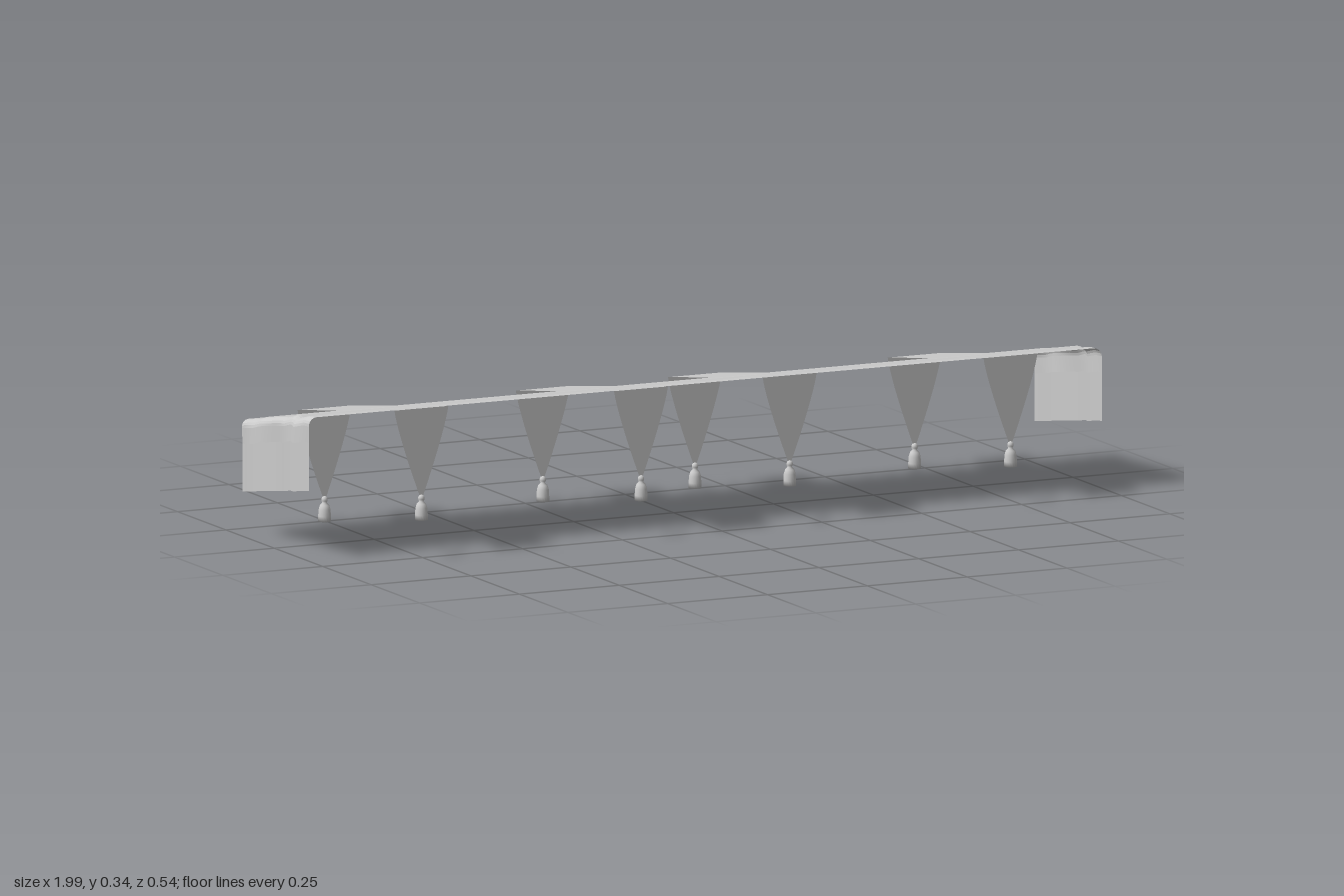
import * as THREE from 'three';
import { ParametricGeometry } from 'three/addons/geometries/ParametricGeometry.js';

const cloth = new THREE.MeshStandardMaterial({ color: 0xcccccc, side: THREE.DoubleSide });
const planeY = (z) => 0.3012 + 0.165 * z; // the cloth lies on a slight slope

function part(geometry, name, parent) {
  const mesh = new THREE.Mesh(geometry, cloth);
  mesh.name = name;
  parent.add(mesh);
  return mesh;
}

// Height of the runner from front hem to back hem, with soft wrinkles
const wrinkles = [
  [0.162, 0.325], [0.135, 0.324], [0.092, 0.313], [0.08, 0.318], [0.035, 0.305],
  [0, 0.3], [-0.06, 0.289], [-0.09, 0.284], [-0.12, 0.275], [-0.188, 0.263],
];
function runnerY(z) {
  for (let i = 1; i < wrinkles.length; i++) {
    const [z0, y0] = wrinkles[i - 1], [z1, y1] = wrinkles[i];
    if (z >= z1 || i === wrinkles.length - 1) return y0 + (y1 - y0) * (z - z0) / (z1 - z0);
  }
}

// Long profile of the runner: flap, rounded fold, flat top, fold, flap
function runnerProfile() {
  const half = [];
  for (let i = 0; i <= 4; i++) half.push([0.993, -0.168 + i * 0.037]);
  for (let i = 1; i <= 5; i++) {
    const a = (i / 5) * Math.PI / 2;
    half.push([0.973 + 0.02 * Math.cos(a), -0.02 + 0.02 * Math.sin(a)]);
  }
  half.push([0.5, 0]);
  return [...half.map(([x, y]) => [-x, y]), ...half.reverse()];
}

function runnerGeometry() {
  const profile = runnerProfile(), n = profile.length - 1;
  return new ParametricGeometry((u, v, target) => {
    const [x, d] = profile[Math.round(u * n)];
    const z = 0.162 - 0.35 * v;
    const hang = Math.min(1, -d / 0.03);
    // the hanging ends ripple a little sideways
    const ripple = hang * (0.004 * Math.sin(z * 32 + Math.sign(x)) + 0.01 * z);
    // wrinkles fade towards the bottom hem
    const fade = -d / 0.168;
    const y = runnerY(z) * (1 - 0.7 * fade) + (planeY(z) - 0.003) * 0.7 * fade + d;
    target.set(x + Math.sign(x) * ripple, y, z);
  }, n, 40);
}

// Pointed pennant that hangs straight down from the hem
function pennantGeometry(topY, tipY) {
  return new ParametricGeometry((u, v, target) => {
    const w = 0.0645 * (1 - Math.pow(v, 1.2)) + 0.003;
    target.set((u * 2 - 1) * w, topY + (tipY - topY) * v, 0);
  }, 2, 14);
}

// Tassel with a round knot and a flared skirt, standing on y = 0
const tasselGeometry = new THREE.LatheGeometry([
  [0, 0], [0.0145, 0], [0.0145, 0.012], [0.0135, 0.027], [0.0105, 0.037], [0.005, 0.0425],
  [0.0072, 0.047], [0.0072, 0.052], [0.0045, 0.0565], [0, 0.058],
].map(([r, y]) => new THREE.Vector2(r, y)), 16);

export function createModel() {
  const model = new THREE.Group();
  model.name = 'tableRunnerSet';

  part(runnerGeometry(), 'longRunner', model);

  // Cross runners: centre x, front hem z, back hem z
  const crosses = [
    [-0.753, 0.25, -0.25], [-0.203, 0.25, -0.257],
    [0.178, 0.232, -0.257], [0.728, 0.238, -0.257],
  ];
  for (const [x, front, back] of crosses) {
    const cross = new THREE.Group();
    cross.name = 'crossRunner';
    cross.position.x = x;
    model.add(cross);

    // flat band over the long runner
    part(new ParametricGeometry((u, v, target) => {
      const z = front + (back - front) * v;
      target.set((u * 2 - 1) * 0.0675, planeY(z), z);
    }, 1, 8), 'crossBand', cross);

    // a pennant and tassel at each end
    for (const [z, baseY] of [[front, 0.087], [back, 0]]) {
      part(pennantGeometry(planeY(z), baseY + 0.052), 'pennant', cross).position.z = z;
      part(tasselGeometry, 'tassel', cross).position.set(0, baseY, z);
    }
  }
  return model;
}
